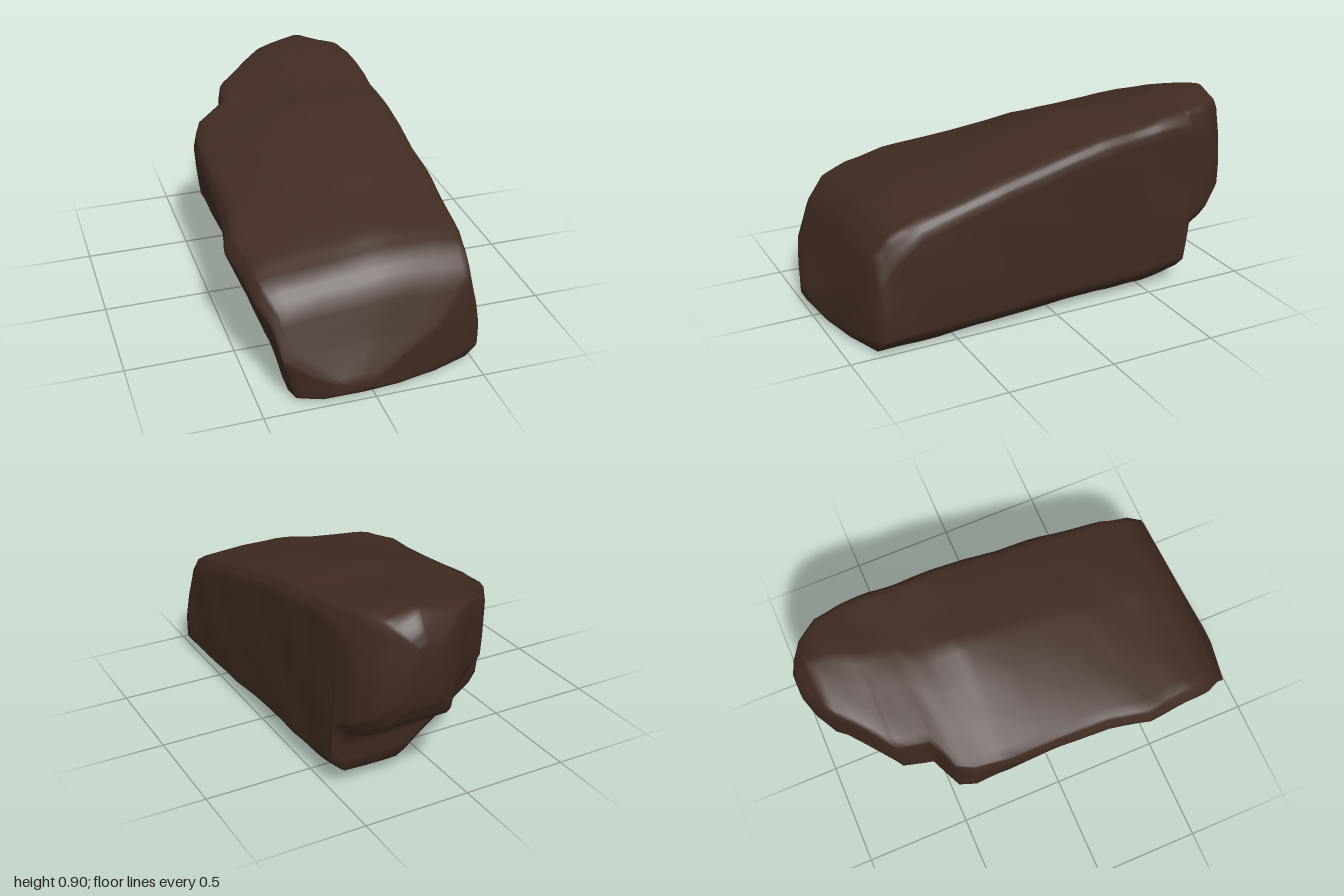
import * as THREE from 'three';

// Cross-sections from front to back:
// z, underside y, lower left x, widest left x, left top y, middle top y, right top y, right x
const SECTIONS = [
  [1.0, 0.04, -0.16, -0.16, 0.09, 0.09, 0.08, 0.0],
  [0.97, 0.01, -0.24, -0.27, 0.15, 0.17, 0.16, 0.14],
  [0.93, 0.005, -0.33, -0.39, 0.24, 0.27, 0.26, 0.33],
  [0.865, 0, -0.35, -0.43, 0.41, 0.46, 0.45, 0.515],
  [0.78, 0, -0.35, -0.47, 0.49, 0.55, 0.54, 0.52],
  [0.65, 0, -0.34, -0.49, 0.54, 0.605, 0.59, 0.52],
  [0.45, 0, -0.34, -0.525, 0.57, 0.655, 0.64, 0.52],
  [0.25, 0.01, -0.32, -0.485, 0.60, 0.71, 0.69, 0.515],
  [-0.23, 0.025, -0.21, -0.475, 0.645, 0.83, 0.80, 0.505],
  [-0.4, 0.03, -0.10, -0.455, 0.665, 0.82, 0.82, 0.50],
  [-0.48, 0.03, -0.05, -0.42, 0.68, 0.83, 0.83, 0.50],
  [-0.55, 0.04, 0.01, -0.28, 0.74, 0.845, 0.84, 0.50],
  [-0.69, 0.06, 0.16, -0.26, 0.76, 0.87, 0.86, 0.495],
  [-0.715, 0.25, -0.04, -0.24, 0.77, 0.875, 0.865, 0.495],
  [-0.82, 0.30, 0.0, -0.11, 0.81, 0.89, 0.875, 0.475],
  [-0.92, 0.37, 0.05, 0.0, 0.83, 0.895, 0.86, 0.41],
  [-0.975, 0.47, 0.12, 0.10, 0.77, 0.82, 0.80, 0.33],
  [-1.0, 0.64, 0.17, 0.16, 0.73, 0.75, 0.74, 0.26],
];

// One closed outline, with its corners slightly cut
function outline([z, yb, xLow, xWide, yL, yM, yR, xR]) {
  const { lerp, clamp, smoothstep } = THREE.MathUtils;
  const h = yR - yb;
  const bevel = Math.min(1, h / 0.5);
  const drop = bevel * (0.06 + 0.13 * smoothstep(Math.abs(z), 0.6, 0.95)); // rounder at both ends
  const shelf = Math.min(clamp(0.03 + 0.05 * z, 0.012, 0.05), (xR - xWide) * 0.1);
  const bulge = clamp(0.62 - 0.75 * z, 0.42, 0.93); // left side fuller toward the back
  const corners = [
    [xLow, yb],
    [(xLow + xR) / 2, yb],
    [xR - 0.06 * bevel, yb + 0.005],
    [xR, yb + 0.07 * bevel],
    [xR, yb + h * 0.4],
    [xR - 0.015 * bevel, yR - drop],
    [xR - 0.05 * bevel, yR - 0.01 * bevel],
    [lerp(xWide, xR, 0.56), yM],
    [xWide + shelf, yL],
    [xWide, lerp(yb, yL, 0.87)],
    [lerp(xLow, xWide, bulge), lerp(yb, yL, 0.42)],
  ];
  const points = [];
  corners.forEach((a, i) => {
    const b = corners[(i + 1) % corners.length];
    for (const t of [0.08, 0.35, 0.65, 0.92]) {
      points.push(new THREE.Vector3(lerp(a[0], b[0], t), lerp(a[1], b[1], t), z));
    }
  });
  return points;
}

// Shallow weathered lumps
function lump(p) {
  return 0.004 * Math.sin(9 * p.x + 5 * p.y + 4 * p.z)
    + 0.003 * Math.sin(13 * p.y - 11 * p.z + 6 * p.x)
    + 0.002 * Math.sin(21 * p.z + 17 * p.x);
}

function rockGeometry() {
  const key = SECTIONS.map(outline);
  const rings = [];
  const steps = 3;
  for (let i = 0; i < key.length - 1; i++) {
    for (let s = 0; s < steps; s++) {
      rings.push(key[i].map((p, j) => p.clone().lerp(key[i + 1][j], s / steps)));
    }
  }
  rings.push(key[key.length - 1]);

  const n = rings[0].length, positions = [], index = [];
  const centres = rings.map((ring) =>
    ring.reduce((sum, p) => sum.add(p), new THREE.Vector3()).divideScalar(n));
  rings.forEach((ring, i) => ring.forEach((p) => {
    const out = p.clone().sub(centres[i]).normalize();
    const q = p.clone().addScaledVector(out, lump(p));
    positions.push(q.x, q.y, q.z);
  }));

  // Side surface
  for (let i = 0; i < rings.length - 1; i++) {
    for (let j = 0; j < n; j++) {
      const k = (j + 1) % n;
      const a = i * n + j, b = i * n + k, d = a + n, c = b + n;
      index.push(a, d, b, b, d, c);
    }
  }
  // Small end faces
  const last = rings.length - 1, front = rings.length * n, back = front + 1;
  positions.push(...centres[0].toArray(), ...centres[last].toArray());
  for (let j = 0; j < n; j++) {
    const k = (j + 1) % n;
    index.push(front, j, k, back, last * n + k, last * n + j);
  }

  const geometry = new THREE.BufferGeometry();
  geometry.setAttribute('position', new THREE.Float32BufferAttribute(positions, 3));
  geometry.setIndex(index);
  geometry.computeBoundingBox();
  geometry.translate(0, -geometry.boundingBox.min.y, 0);
  geometry.computeVertexNormals();
  return geometry;
}

export function createModel() {
  const stone = new THREE.MeshStandardMaterial({ color: 0x402b21 });
  stone.name = 'dark brown stone';
  const rock = new THREE.Mesh(rockGeometry(), stone);
  rock.name = 'boulder';
  const group = new THREE.Group();
  group.name = 'rock';
  group.add(rock);
  return group;
}
